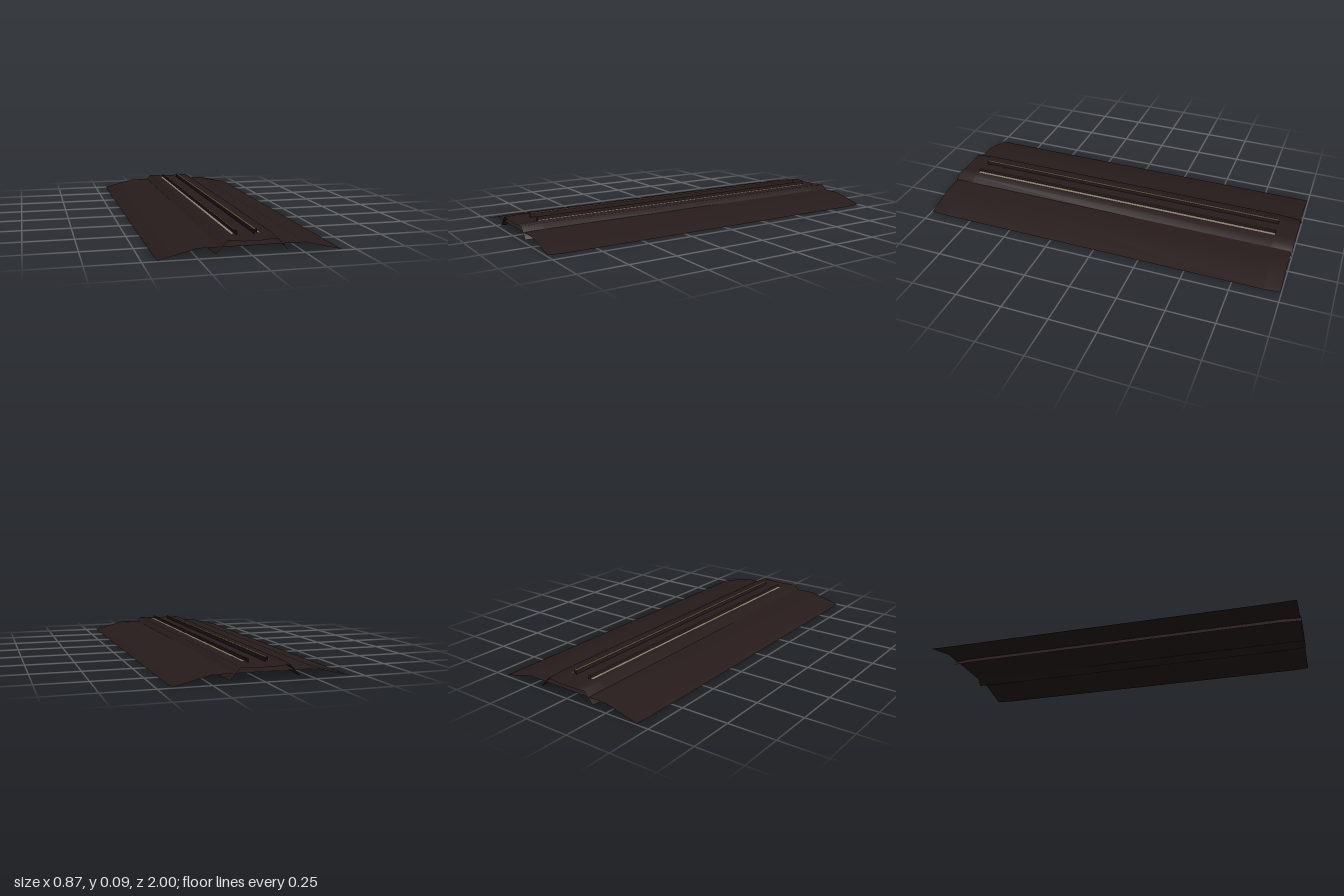
import * as THREE from 'three';

const material = (name, color) => {
  const m = new THREE.MeshStandardMaterial({ color, side: THREE.DoubleSide });
  m.name = name;
  return m;
};

// Open smooth sheet through cross-sections { z, pts: [[x, y], ...] }, running left to right
function sheet(name, sections, mat) {
  const n = sections[0].pts.length;
  const pos = [], index = [];
  for (const { z, pts } of sections) for (const [x, y] of pts) pos.push(x, y, z);
  for (let s = 0; s < sections.length - 1; s++) {
    for (let i = 0; i < n - 1; i++) {
      const a = s * n + i, b = a + 1, c = a + n, d = c + 1;
      index.push(a, c, b, b, c, d);
    }
  }
  const geo = new THREE.BufferGeometry();
  geo.setAttribute('position', new THREE.Float32BufferAttribute(pos, 3));
  geo.setIndex(index);
  geo.computeVertexNormals();
  const mesh = new THREE.Mesh(geo, mat);
  mesh.name = name;
  return mesh;
}

// Full profile from its right half, ordered from the centre outwards
const mirrored = (half) => [...half.map(([x, y]) => [-x, y]).reverse(), ...half];

export function createModel() {
  const group = new THREE.Group();
  group.name = 'railwayTrack';
  const earth = material('dark earth', 0x271c1b);
  const steel = material('worn steel', 0x8f8373);
  const rust = material('rusty steel', 0x5c4c3a);

  // Embankment, with its outer edges lifting slightly at the ends
  const bankEnd = mirrored([[0.25, 0.048], [0.43, 0.004]]);
  const bankMid = mirrored([[0.25, 0.052], [0.433, 0.001]]);
  group.add(sheet('embankment', [
    { z: -0.995, pts: bankEnd }, { z: -0.91, pts: bankMid },
    { z: 0.91, pts: bankMid }, { z: 0.995, pts: bankEnd },
  ], earth));

  // Raised track bed, a little lower and narrower at the ends
  const bedMid = mirrored([[0.045, 0.073], [0.055, 0.075], [0.124, 0.079], [0.178, 0.018]]);
  const bedEnd = mirrored([[0.045, 0.069], [0.055, 0.071], [0.119, 0.074], [0.17, 0.018]]);
  group.add(sheet('trackBed', [
    { z: -1, pts: bedEnd }, { z: -0.89, pts: bedMid },
    { z: 0.89, pts: bedMid }, { z: 1, pts: bedEnd },
  ], earth));

  // Rails: narrow rusty head on dark sides, with a bright foot on the outside
  for (const side of [-1, 1]) {
    const rail = new THREE.Group();
    rail.name = side > 0 ? 'leftRail' : 'rightRail';
    const strip = (name, pts, mat) => {
      const p = pts.map(([x, y]) => [x * side, y]);
      if (side < 0) p.reverse();
      rail.add(sheet(name, [{ z: -0.89, pts: p }, { z: 0.89, pts: p }], mat));
    };
    strip('innerSide', [[0.042, 0.073], [0.042, 0.093]], earth);
    strip('head', [[0.042, 0.093], [0.045, 0.0955], [0.054, 0.096]], rust);
    strip('outerSide', [[0.054, 0.096], [0.054, 0.079]], earth);
    strip('foot', [[0.054, 0.079], [0.071, 0.079]], steel);
    group.add(rail);
  }
  return group;
}
